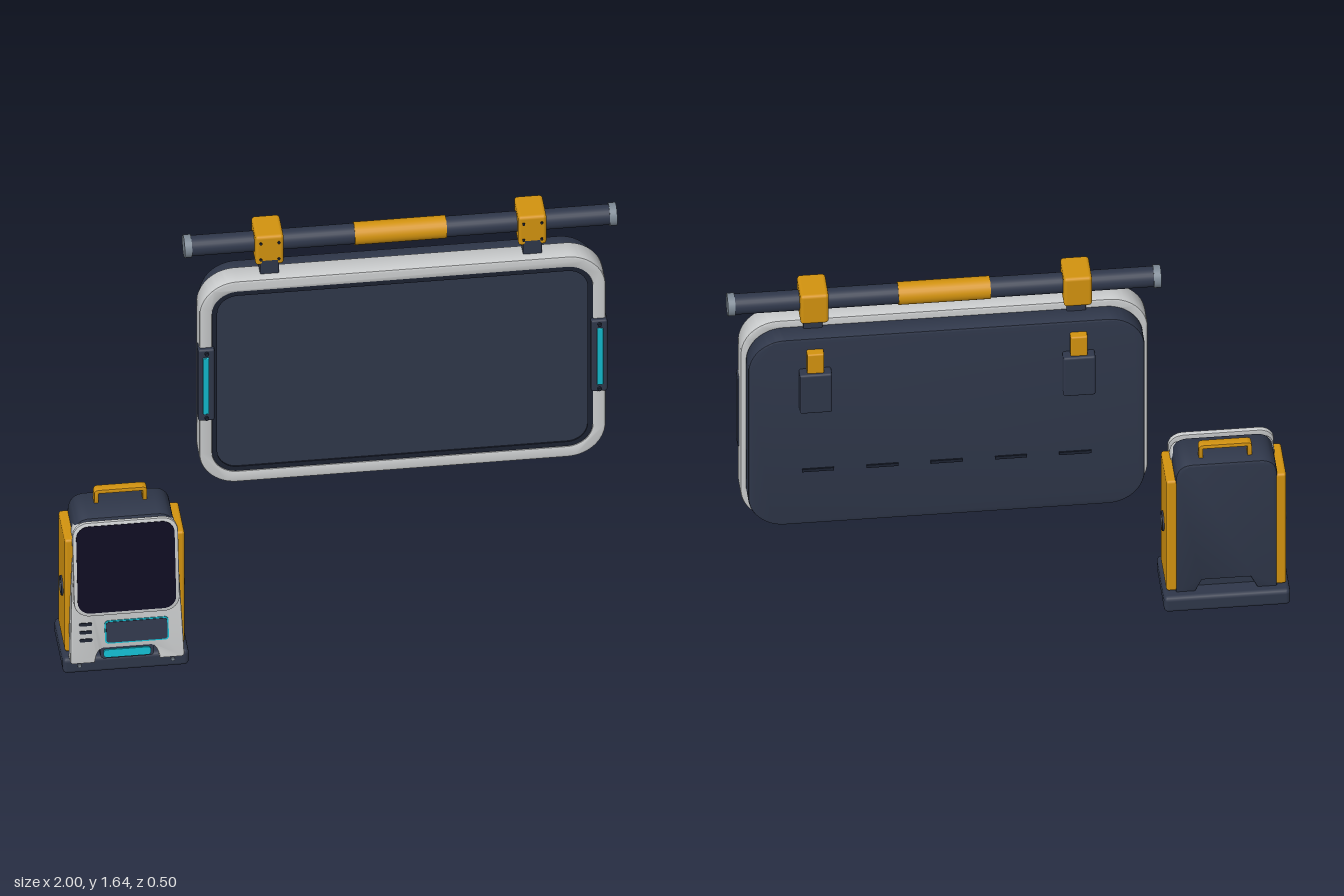
import * as THREE from 'three';
import { toCreasedNormals } from 'three/addons/utils/BufferGeometryUtils.js';
import { RoundedBoxGeometry } from 'three/addons/geometries/RoundedBoxGeometry.js';

const paint = (name, color) => {
  const m = new THREE.MeshStandardMaterial({ color });
  m.name = name;
  return m;
};

export function createModel() {
  const navy = paint('navy', 0x2f374a);
  const darkNavy = paint('dark navy', 0x1b2130);
  const grey = paint('light grey', 0xc9cbcc);
  const orange = paint('orange', 0xd3930f);
  const black = paint('screen black', 0x0d0a20);
  const cyan = paint('cyan', 0x12b9cd);
  const steel = paint('steel', 0x7c8894);

  const add = (parent, name, geo, mat, x = 0, y = 0, z = 0) => {
    const mesh = new THREE.Mesh(geo, mat);
    mesh.name = name;
    mesh.position.set(x, y, z);
    parent.add(mesh);
    return mesh;
  };
  const group = (parent, name, x = 0, y = 0, z = 0) => {
    const g = new THREE.Group();
    g.name = name;
    g.position.set(x, y, z);
    parent.add(g);
    return g;
  };

  // Box given by its limits, with softened edges
  const block = (parent, name, mat, [x0, x1], [y0, y1], [z0, z1], r = 0.008) =>
    add(parent, name, new RoundedBoxGeometry(x1 - x0, y1 - y0, z1 - z0, 2, r), mat,
      (x0 + x1) / 2, (y0 + y1) / 2, (z0 + z1) / 2);

  const roundRect = (w, h, r, Type = THREE.Shape) => {
    const s = new Type(), a = w / 2, b = h / 2;
    s.moveTo(-a + r, -b);
    s.lineTo(a - r, -b);
    s.absarc(a - r, -b + r, r, -Math.PI / 2, 0);
    s.lineTo(a, b - r);
    s.absarc(a - r, b - r, r, 0, Math.PI / 2);
    s.lineTo(-a + r, b);
    s.absarc(-a + r, b - r, r, Math.PI / 2, Math.PI);
    s.lineTo(-a, -b + r);
    s.absarc(-a + r, -b + r, r, Math.PI, Math.PI * 1.5);
    return s;
  };

  // Extrusion filling z = 0..depth, the bevel staying inside the outline
  const extrude = (shape, depth, bevel = 0) => {
    const geo = new THREE.ExtrudeGeometry(shape, {
      depth: depth - 2 * bevel, curveSegments: 10, bevelEnabled: bevel > 0,
      bevelSize: bevel, bevelThickness: bevel, bevelOffset: -bevel, bevelSegments: 2,
    });
    return toCreasedNormals(geo.translate(0, 0, bevel), 0.6);
  };
  const rodX = (r, len) => new THREE.CylinderGeometry(r, r, len, 28).rotateZ(Math.PI / 2);
  const rivet = (r, len) => new THREE.CylinderGeometry(r, r, len, 12).rotateX(Math.PI / 2);

  const model = new THREE.Group();
  model.name = 'displaySet';

  // ---------- Large hanging board ----------
  const cx = 0.232, cy = 1.038;
  const board = group(model, 'board', cx, cy, 0);
  const frame = roundRect(1.438, 0.875, 0.135);
  frame.holes.push(roundRect(1.345, 0.78, 0.09, THREE.Path));
  add(board, 'boardFrame', extrude(frame, 0.09, 0.008), grey, 0, 0, -0.125);
  add(board, 'boardBacking', extrude(roundRect(1.4, 0.82, 0.13), 0.08, 0.008), navy, 0, 0, -0.203);
  const rim = roundRect(1.348, 0.783, 0.09);
  rim.holes.push(roundRect(1.31, 0.745, 0.072, THREE.Path));
  add(board, 'screenRim', extrude(rim, 0.085), darkNavy, 0, 0, -0.125);
  add(board, 'boardScreen', extrude(roundRect(1.32, 0.755, 0.075), 0.08), navy, 0, 0, -0.125);
  for (let i = -2; i <= 2; i++) {
    add(board, 'backSlot', new THREE.BoxGeometry(0.113, 0.012, 0.008), darkNavy, i * 0.227, -0.17, -0.204);
  }

  for (const side of [-1, 1]) {
    // Side grips with a light strip
    const grip = group(board, 'sideGrip', side * 0.695, 0.005, 0);
    block(grip, 'gripBody', navy, [-0.029, 0.029], [-0.155, 0.155], [-0.075, -0.02]);
    add(grip, 'gripLight', new RoundedBoxGeometry(0.022, 0.245, 0.008, 2, 0.003), cyan, side * 0.002, 0, -0.019);
    for (const v of [-0.14, 0.14]) add(grip, 'gripRivet', rivet(0.007, 0.014), darkNavy, 0, v, -0.018);

    // Rail clamps
    const clamp = group(board, 'railClamp', side * 0.465, 0, 0);
    block(clamp, 'clampPost', navy, [-0.034, 0.034], [0.4, 0.5], [-0.142, -0.07], 0.006);
    block(clamp, 'clampBlock', orange, [-0.05, 0.05], [0.473, 0.598], [-0.202, -0.07], 0.012);
    for (const u of [-0.032, 0.032]) {
      for (const v of [0.5, 0.57]) add(clamp, 'clampRivet', rivet(0.005, 0.008), darkNavy, u, v, -0.069);
    }

    // Latches on the back
    block(clamp, 'latchBody', navy, [-0.057, 0.057], [0.112, 0.282], [-0.248, -0.2], 0.008);
    block(clamp, 'latchTab', orange, [-0.03, 0.03], [0.25, 0.364], [-0.236, -0.2], 0.006);
  }

  // Rail
  const rail = group(model, 'rail', 0.235, 1.573, -0.136);
  add(rail, 'railTube', rodX(0.037, 1.5), navy);
  add(rail, 'railGrip', rodX(0.041, 0.325), orange);
  for (const side of [-1, 1]) add(rail, 'railCap', rodX(0.041, 0.026), steel, side * 0.752);

  // ---------- Small standing terminal ----------
  const kiosk = group(model, 'terminal', -0.777, 0, 0);
  block(kiosk, 'base', navy, [-0.223, 0.223], [0, 0.066], [-0.045, 0.212], 0.016);
  for (const u of [-0.165, 0.165]) add(kiosk, 'baseRivet', rivet(0.007, 0.01), steel, u, 0.036, 0.212);

  // Body with shaped shoulders and a notch at the foot
  const body = new THREE.Shape();
  body.moveTo(-0.18, 0.06);
  body.lineTo(-0.11, 0.06);
  body.lineTo(-0.085, 0.11);
  body.lineTo(0.085, 0.11);
  body.lineTo(0.11, 0.06);
  body.lineTo(0.18, 0.06);
  body.lineTo(0.18, 0.56);
  body.quadraticCurveTo(0.178, 0.625, 0.12, 0.626);
  body.lineTo(-0.12, 0.626);
  body.quadraticCurveTo(-0.178, 0.625, -0.18, 0.56);
  body.closePath();
  add(kiosk, 'body', extrude(body, 0.16, 0.01), navy, 0, 0, -0.012);
  block(kiosk, 'bodyCore', navy, [-0.12, 0.12], [0.06, 0.13], [0.02, 0.13], 0.006);

  for (const side of [-1, 1]) {
    const cheek = group(kiosk, 'sidePanel', side * 0.192, 0, 0);
    block(cheek, 'panelSlab', orange, [-0.02, 0.02], [0.07, 0.557], [-0.01, 0.174], 0.01);
    add(cheek, 'knobRing', rodX(0.036, 0.02), navy, side * 0.016, 0.305, 0.094);
    add(cheek, 'knobCentre', rodX(0.021, 0.024), steel, side * 0.0165, 0.305, 0.094);
  }

  // Carrying handle
  const arch = new THREE.Shape();
  arch.moveTo(-0.094, 0.615);
  arch.lineTo(-0.094, 0.663);
  arch.quadraticCurveTo(-0.094, 0.68, -0.077, 0.68);
  arch.lineTo(0.077, 0.68);
  arch.quadraticCurveTo(0.094, 0.68, 0.094, 0.663);
  arch.lineTo(0.094, 0.615);
  arch.lineTo(0.078, 0.615);
  arch.lineTo(0.078, 0.664);
  arch.lineTo(-0.078, 0.664);
  arch.lineTo(-0.078, 0.615);
  arch.closePath();
  add(kiosk, 'carryHandle', extrude(arch, 0.034, 0.003), orange, 0, 0, 0.025);

  // Leaning front, built upright and tilted back
  const face = group(kiosk, 'frontFace', 0, 0.07, 0.25);
  face.rotation.x = -0.176;
  const plate = new THREE.Shape();
  plate.moveTo(-0.19, 0);
  plate.lineTo(-0.115, 0);
  plate.quadraticCurveTo(-0.108, 0.05, -0.085, 0.055);
  plate.lineTo(0.085, 0.055);
  plate.quadraticCurveTo(0.108, 0.05, 0.115, 0);
  plate.lineTo(0.19, 0);
  plate.quadraticCurveTo(0.203, 0, 0.202, 0.015);
  plate.lineTo(0.184, 0.5);
  plate.quadraticCurveTo(0.182, 0.55, 0.14, 0.55);
  plate.lineTo(-0.14, 0.55);
  plate.quadraticCurveTo(-0.182, 0.55, -0.184, 0.5);
  plate.lineTo(-0.202, 0.015);
  plate.quadraticCurveTo(-0.203, 0, -0.19, 0);
  add(face, 'frontPlate', extrude(plate, 0.052, 0.006), grey, 0, 0, -0.052);

  // Main screen and its bezel
  add(face, 'screenMount', extrude(roundRect(0.3, 0.29, 0.04), 0.016), darkNavy, 0, 0.38, -0.002);
  add(face, 'screenBezel', extrude(roundRect(0.374, 0.367, 0.055), 0.018, 0.005), grey, 0, 0.38, 0.01);
  add(face, 'mainScreen', extrude(roundRect(0.348, 0.34, 0.045), 0.004), black, 0, 0.38, 0.026);

  // Small display, vents and light bar
  add(face, 'displayEdge', extrude(roundRect(0.226, 0.09, 0.014), 0.004), cyan, 0.035, 0.118, -0.001);
  add(face, 'smallDisplay', extrude(roundRect(0.216, 0.08, 0.011), 0.005), navy, 0.035, 0.118, 0);
  for (let i = 0; i < 3; i++) {
    add(face, 'vent', extrude(roundRect(0.045, 0.012, 0.005), 0.004), darkNavy, -0.145, 0.092 + i * 0.031, -0.001);
  }
  add(face, 'lightMount', extrude(roundRect(0.19, 0.05, 0.014), 0.04), navy, 0, 0.038, -0.045);
  add(face, 'lightBar', extrude(roundRect(0.168, 0.03, 0.012), 0.008), cyan, 0, 0.034, -0.006);

  return model;
}
